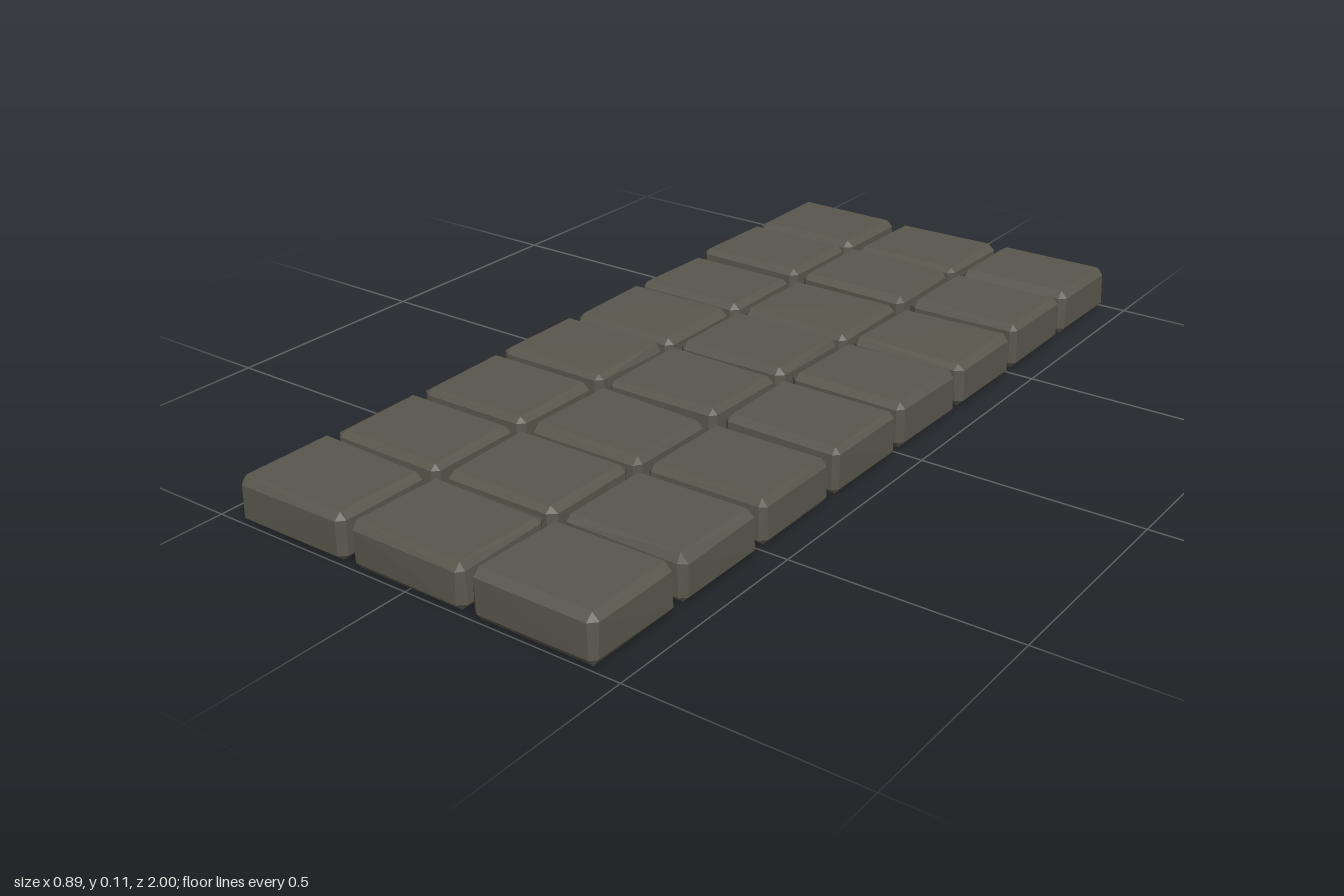
import * as THREE from 'three';
import { ConvexGeometry } from 'three/addons/geometries/ConvexGeometry.js';

const COLS = 3, ROWS = 8;
const WIDTH = 0.285, DEPTH = 0.235;
const PITCH_X = 0.302, PITCH_Z = 0.2521;
const BEVEL = 0.013;

// Small seeded generator for the uneven hewn edges
function seeded(seed) {
  let s = seed;
  return () => (s = (s * 16807) % 2147483647) / 2147483647;
}

// Box with bevelled edges; every corner contributes one point to each of its three faces
function bevelledStone(w, h, d, rand) {
  const points = [];
  for (const sx of [-1, 1]) for (const sy of [-1, 1]) for (const sz of [-1, 1]) {
    const wear = sy > 0 ? 0.007 : 0.003;
    const x = w / 2, y = h / 2, z = d / 2;
    const bx = BEVEL + rand() * wear;
    const by = BEVEL + rand() * wear;
    const bz = BEVEL + rand() * wear;
    const drop = sy > 0 ? rand() * 0.005 : 0; // slightly uneven top
    points.push(
      new THREE.Vector3(sx * (x - rand() * 0.003), sy * (y - by), sz * (z - bz)),
      new THREE.Vector3(sx * (x - bx), sy * (y - drop), sz * (z - bz)),
      new THREE.Vector3(sx * (x - bx), sy * (y - by), sz * (z - rand() * 0.003)),
    );
  }
  return new ConvexGeometry(points);
}

export function createModel() {
  const model = new THREE.Group();
  model.name = 'stonePaving';
  const stone = new THREE.MeshStandardMaterial({ color: 0x59574c });
  stone.name = 'darkStone';
  const rand = seeded(4127);

  // Stone heights by row, back to front
  const heights = [0.107, 0.11, 0.102, 0.106, 0.106, 0.102, 0.102, 0.106];

  for (let row = 0; row < ROWS; row++) {
    const rowGroup = new THREE.Group();
    rowGroup.name = `stoneRow${row + 1}`;
    rowGroup.position.z = (row - (ROWS - 1) / 2) * PITCH_Z;
    for (let col = 0; col < COLS; col++) {
      const h = heights[row] - (col === 2 ? 0 : rand() * 0.004);
      const mesh = new THREE.Mesh(bevelledStone(WIDTH, h, DEPTH, rand), stone);
      mesh.name = `pavingStone${col + 1}`;
      mesh.position.set((col - 1) * PITCH_X, h / 2, 0);
      rowGroup.add(mesh);
    }
    model.add(rowGroup);
  }
  return model;
}
